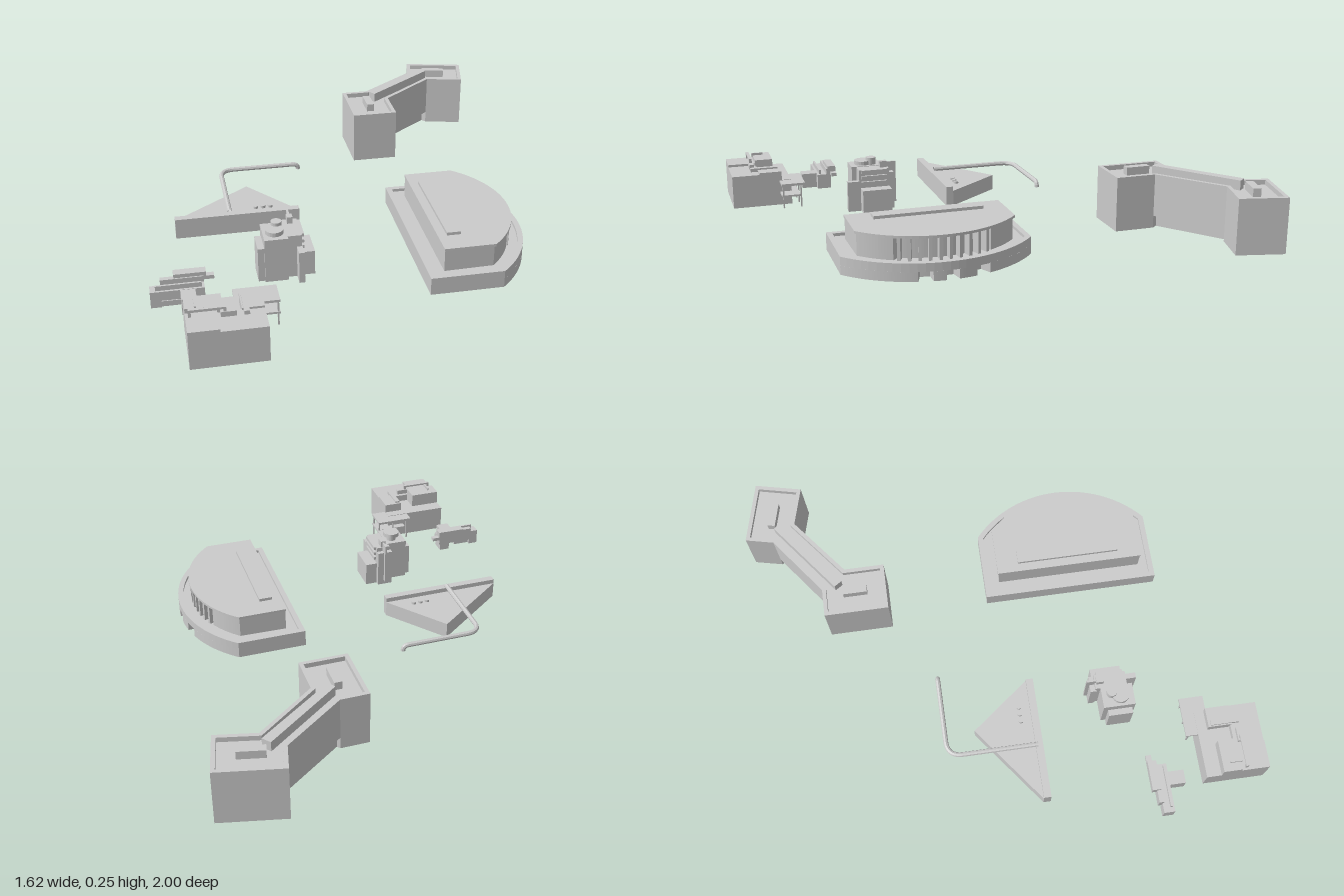
import * as THREE from 'three';

const mat = new THREE.MeshStandardMaterial({ color: 0xcccccc, flatShading: true, side: THREE.DoubleSide });

function add(group, name, geometry) {
  const mesh = new THREE.Mesh(geometry, mat);
  mesh.name = name;
  group.add(mesh);
  return mesh;
}

function section(parent, name) {
  const g = new THREE.Group();
  g.name = name;
  parent.add(g);
  return g;
}

// Box from its limits
function box(group, name, x0, x1, y0, y1, z0, z1) {
  const m = add(group, name, new THREE.BoxGeometry(x1 - x0, y1 - y0, z1 - z0));
  m.position.set((x0 + x1) / 2, (y0 + y1) / 2, (z0 + z1) / 2);
  return m;
}

// Upright cylinder
function drum(group, name, x, z, r, y0, y1) {
  add(group, name, new THREE.CylinderGeometry(r, r, y1 - y0, 20)).position.set(x, (y0 + y1) / 2, z);
}

// Vertical prism over a plan outline of [x, z] points
function prism(group, name, plan, y0, y1, hole) {
  const vec = (p) => p.map(([x, z]) => new THREE.Vector2(x, -z));
  const shape = new THREE.Shape(vec(plan));
  if (hole) shape.holes.push(new THREE.Path(vec(hole)));
  const geo = new THREE.ExtrudeGeometry(shape, { depth: y1 - y0, bevelEnabled: false });
  geo.rotateX(-Math.PI / 2).translate(0, y0, 0);
  return add(group, name, geo);
}

// Mitred inset of a plan outline
function inset(plan, d) {
  const n = plan.length;
  let area = 0;
  plan.forEach(([x, z], i) => {
    const [u, v] = plan[(i + 1) % n];
    area += x * v - u * z;
  });
  const s = Math.sign(area);
  const normal = (a, b) => {
    const l = Math.hypot(b[0] - a[0], b[1] - a[1]);
    return [-s * (b[1] - a[1]) / l, s * (b[0] - a[0]) / l];
  };
  return plan.map((p, i) => {
    const a = normal(plan[(i + n - 1) % n], p);
    const b = normal(p, plan[(i + 1) % n]);
    const k = d / (1 + a[0] * b[0] + a[1] * b[1]);
    return [p[0] + (a[0] + b[0]) * k, p[1] + (a[1] + b[1]) * k];
  });
}

// Solid block with a low parapet around its roof
function parapetBlock(group, name, plan, y0, y1, rim, drop) {
  prism(group, name, plan, y0, y1 - drop);
  prism(group, name + 'Parapet', plan, y1 - drop, y1, inset(plan, rim));
}

// Half-round plan: straight back, bowed +x side; cut(z) sets the bow back locally
function bowPlan(x0, x1, xTip, half, cut = () => 0, steps = 28) {
  const zc = 0.348, h = xTip - x1;
  const r = (half * half + h * h) / (2 * h), cx = xTip - r;
  const end = Math.asin(half / r);
  const pts = [[x0, zc - half]];
  for (let i = 0; i <= steps; i++) {
    const a = -end + (2 * end * i) / steps;
    const rr = r - cut(r * Math.sin(a));
    pts.push([cx + rr * Math.cos(a), zc + rr * Math.sin(a)]);
  }
  pts.push([x0, zc + half]);
  return pts;
}

function angledBlock(root) {
  const g = section(root, 'angledBuilding');
  const plan = [[0.165, -0.7], [0.28, -0.7], [0.525, -0.885], [0.552, -1], [0.805, -0.94],
    [0.76, -0.75], [0.6, -0.79], [0.36, -0.6], [0.36, -0.435], [0.165, -0.435]];
  parapetBlock(g, 'upperFloors', plan, 0.05, 0.225, 0.016, 0.02);
  // Ground floor: two full wings and a recessed link
  prism(g, 'nearWingBase', [plan[0], plan[1], plan[7], plan[8], plan[9]], 0, 0.05);
  prism(g, 'farWingBase', [plan[2], plan[3], plan[4], plan[5], plan[6]], 0, 0.05);
  prism(g, 'linkBase', [[0.28, -0.68], [0.54, -0.87], [0.6, -0.82], [0.34, -0.62]], 0, 0.05);
  box(g, 'nearRoofHouse', 0.243, 0.275, 0.2, 0.238, -0.615, -0.515);
  const far = box(g, 'farRoofHouse', -0.052, 0.052, 0.2, 0.238, -0.016, 0.016);
  far.position.set(0.65, 0.219, -0.875);
  far.rotation.y = -0.235;
  prism(g, 'roofRidge', [[0.28, -0.645], [0.58, -0.875], [0.605, -0.845], [0.3, -0.615]], 0.2, 0.245);
}

function bowedHall(root) {
  const g = section(root, 'bowedHall');
  // Ground floor with doorway recesses along the bow
  const doors = [-0.13, -0.01, 0.09];
  const notch = (z) => (doors.some((d) => Math.abs(z - d) < 0.022) ? 0.05 : 0);
  prism(g, 'groundFloor', bowPlan(0.215, 0.5, 0.67, 0.367, notch, 120), 0, 0.037);
  parapetBlock(g, 'podium', bowPlan(0.215, 0.5, 0.67, 0.367), 0.037, 0.07, 0.022, 0.012);
  // Upper hall set back behind a row of fins
  const back = (z) => (Math.abs(z) < 0.18 ? 0.035 : 0.006);
  prism(g, 'upperHall', bowPlan(0.282, 0.48, 0.615, 0.305, back, 60), 0.058, 0.148);
  prism(g, 'hallRoof', bowPlan(0.28, 0.48, 0.62, 0.308), 0.145, 0.155);
  const r = 0.408, cx = 0.212;
  for (let i = 0; i < 10; i++) {
    const a = -0.43 + (0.86 * i) / 9;
    const fin = box(g, 'fin', -0.017, 0.017, 0.058, 0.147, -0.006, 0.006);
    fin.position.x = cx + (r - 0.022) * Math.cos(a);
    fin.position.z = 0.348 + (r - 0.022) * Math.sin(a);
    fin.rotation.y = -a;
  }
  box(g, 'roofMonitor', 0.315, 0.37, 0.15, 0.167, 0.13, 0.56);
}

function wedgeHall(root) {
  const g = section(root, 'wedgeHall');
  prism(g, 'wedgeRoom', [[-0.685, 0.09], [-0.365, -0.15], [-0.18, 0.09]], 0, 0.066);
  box(g, 'frontWall', -0.685, -0.18, 0, 0.085, 0.09, 0.12);
  for (let i = 0; i < 3; i++) drum(g, 'skylight', -0.35 + i * 0.03, 0.045, 0.01, 0.06, 0.076);
  // Long pipe with a rounded corner and a downturned end
  const v = (x, y, z) => new THREE.Vector3(x, y, z);
  const path = new THREE.CurvePath();
  path.add(new THREE.LineCurve3(v(-0.463, 0.09, 0.1), v(-0.463, 0.09, -0.21)));
  path.add(new THREE.QuadraticBezierCurve3(v(-0.463, 0.09, -0.21), v(-0.463, 0.09, -0.273), v(-0.4, 0.09, -0.273)));
  path.add(new THREE.LineCurve3(v(-0.4, 0.09, -0.273), v(-0.145, 0.09, -0.273)));
  path.add(new THREE.QuadraticBezierCurve3(v(-0.145, 0.09, -0.273), v(-0.122, 0.09, -0.273), v(-0.122, 0.068, -0.273)));
  add(g, 'pipe', new THREE.TubeGeometry(path, 90, 0.01, 8, false));
}

function tower(root) {
  const g = section(root, 'tower');
  box(g, 'mainShaft', -0.375, -0.285, 0, 0.18, 0.38, 0.51);
  box(g, 'sideBay', -0.4, -0.37, 0, 0.14, 0.4, 0.5);
  box(g, 'middleShaft', -0.29, -0.23, 0, 0.178, 0.36, 0.49);
  box(g, 'lowWing', -0.235, -0.18, 0, 0.1, 0.36, 0.485);
  box(g, 'frontButtress', -0.25, -0.228, 0, 0.13, 0.48, 0.54);
  box(g, 'rearStair', -0.295, -0.23, 0, 0.16, 0.34, 0.365);
  box(g, 'chimney', -0.272, -0.25, 0.17, 0.205, 0.365, 0.395);
  box(g, 'rearFin', -0.265, -0.257, 0.02, 0.2, 0.325, 0.37);
  for (const y of [0.115, 0.14, 0.165]) box(g, 'balcony', -0.24, -0.22, y, y + 0.013, 0.37, 0.48);
  drum(g, 'roofDrum', -0.33, 0.455, 0.035, 0.17, 0.197);
  drum(g, 'smallDrum', -0.318, 0.42, 0.021, 0.17, 0.21);
}

function slimHouse(root) {
  const g = section(root, 'slimHouse');
  box(g, 'mainRoom', -0.81, -0.61, 0.028, 0.066, 0.56, 0.605);
  box(g, 'endBlock', -0.81, -0.77, 0, 0.03, 0.56, 0.605);
  box(g, 'innerBlock', -0.66, -0.615, 0, 0.03, 0.545, 0.605);
  box(g, 'rearRoom', -0.77, -0.61, 0.03, 0.09, 0.545, 0.565);
  box(g, 'entrance', -0.7, -0.645, 0, 0.065, 0.605, 0.67);
  box(g, 'rearSlab', -0.72, -0.57, 0.065, 0.08, 0.525, 0.548);
  box(g, 'upperSlab', -0.72, -0.6, 0.08, 0.105, 0.525, 0.56);
  box(g, 'plinth', -0.77, -0.7, 0, 0.022, 0.575, 0.6);
  box(g, 'roofRail', -0.79, -0.62, 0.066, 0.085, 0.588, 0.596);
}

function terraceHouse(root) {
  const g = section(root, 'terraceHouse');
  box(g, 'lowerHouse', -0.7, -0.425, 0, 0.14, 0.88, 1);
  box(g, 'rearHouse', -0.7, -0.425, 0, 0.11, 0.75, 0.88);
  box(g, 'cornerRoom', -0.7, -0.57, 0.11, 0.168, 0.81, 0.885);
  box(g, 'sideRoom', -0.505, -0.425, 0.11, 0.148, 0.79, 0.885);
  box(g, 'roofStep', -0.7, -0.59, 0.14, 0.15, 0.885, 1);
  // Roof frame
  box(g, 'roofBeam', -0.69, -0.56, 0.17, 0.178, 0.9, 0.912);
  for (const x of [-0.69, -0.57]) box(g, 'framePost', x, x + 0.01, 0.14, 0.172, 0.9, 0.912);
  box(g, 'roofBench', -0.58, -0.525, 0.14, 0.16, 0.895, 0.915);
  box(g, 'roofFin', -0.667, -0.66, 0.16, 0.178, 0.84, 0.89);
  box(g, 'sideFin', -0.5, -0.48, 0.14, 0.155, 0.8, 0.915);
  // Terrace decks on thin posts
  box(g, 'upperDeck', -0.52, -0.36, 0.098, 0.108, 0.7, 0.8);
  box(g, 'lowerDeck', -0.5, -0.36, 0.05, 0.058, 0.72, 0.8);
  for (const x of [-0.51, -0.44, -0.37]) box(g, 'deckPost', x, x + 0.006, 0, 0.1, 0.715, 0.721);
  box(g, 'deckPost', -0.37, -0.364, 0, 0.1, 0.79, 0.796);
}

export function createModel() {
  const root = new THREE.Group();
  root.name = 'buildingCluster';
  [angledBlock, bowedHall, wedgeHall, tower, slimHouse, terraceHouse].forEach((build) => build(root));
  return root;
}
